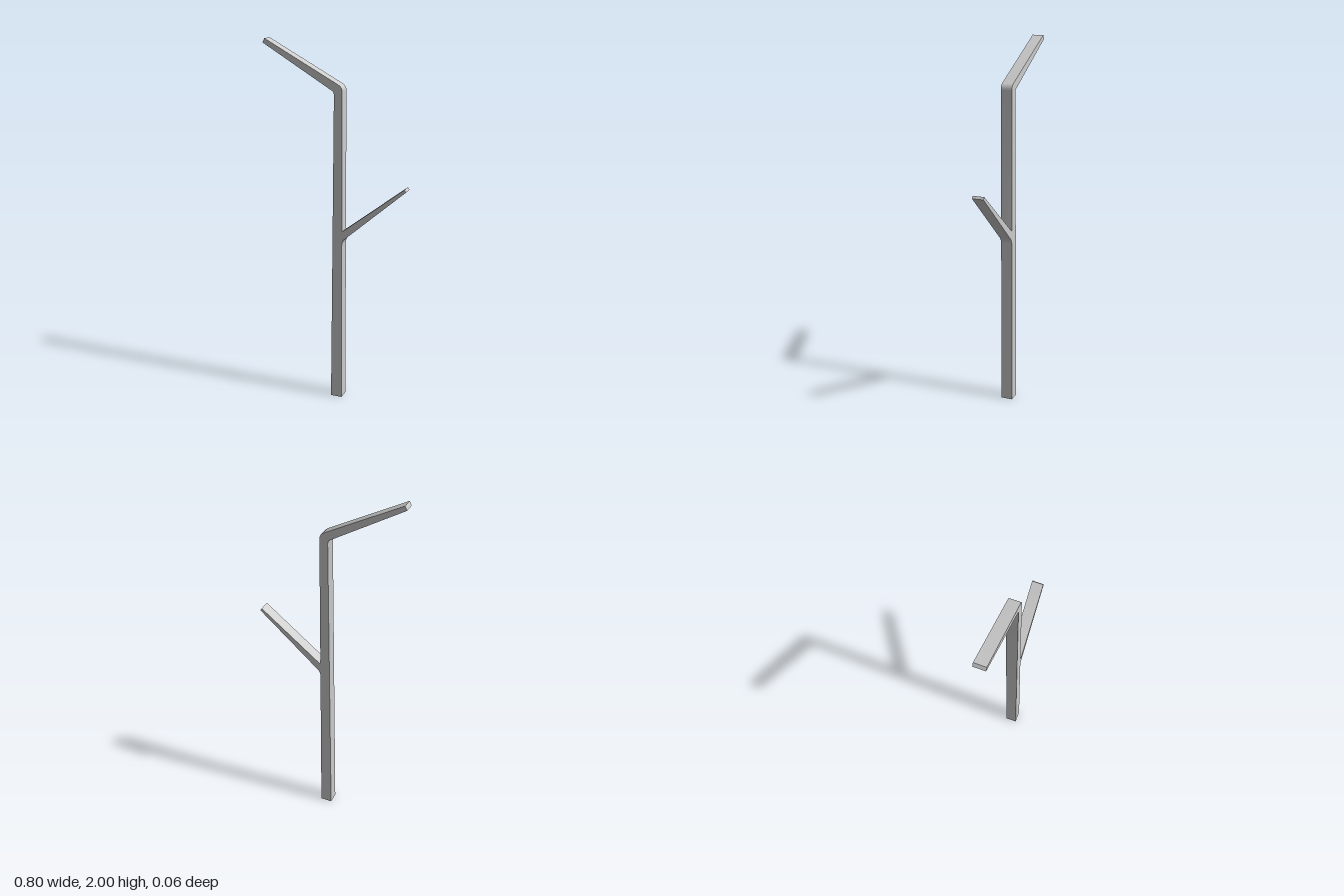
import * as THREE from 'three';
import { toCreasedNormals } from 'three/addons/utils/BufferGeometryUtils.js';

const DEPTH = 0.063;

export function createModel() {
  const group = new THREE.Group();
  group.name = 'forkedBranch';

  // Silhouette of the tapering trunk, bent top and side branch
  const s = new THREE.Shape();
  s.moveTo(-0.018, 0);
  s.lineTo(0.046, 0);
  s.lineTo(0.046, 0.915);
  s.quadraticCurveTo(0.046, 0.938, 0.062, 0.952); // fillet under the side branch
  s.lineTo(0.4, 1.247);
  s.lineTo(0.391, 1.26);
  s.lineTo(0.054, 0.998);
  s.quadraticCurveTo(0.046, 0.992, 0.046, 1.003); // crotch above the side branch
  s.lineTo(0.046, 1.745);
  s.quadraticCurveTo(0.046, 1.768, 0.025, 1.78); // outer bend
  s.lineTo(-0.389, 2);
  s.lineTo(-0.4, 1.978);
  s.lineTo(-0.012, 1.749);
  s.quadraticCurveTo(0.001, 1.742, 0.001, 1.725); // inner bend
  s.closePath();

  const geometry = new THREE.ExtrudeGeometry(s, { depth: DEPTH, bevelEnabled: false, curveSegments: 8 });
  geometry.translate(0, 0, -DEPTH / 2);

  // Smooth the fillets, keep the outline edges sharp
  const mesh = new THREE.Mesh(
    toCreasedNormals(geometry, Math.PI / 7),
    new THREE.MeshStandardMaterial({ color: 0xcccccc })
  );
  mesh.name = 'trunkAndBranches';
  group.add(mesh);
  return group;
}
